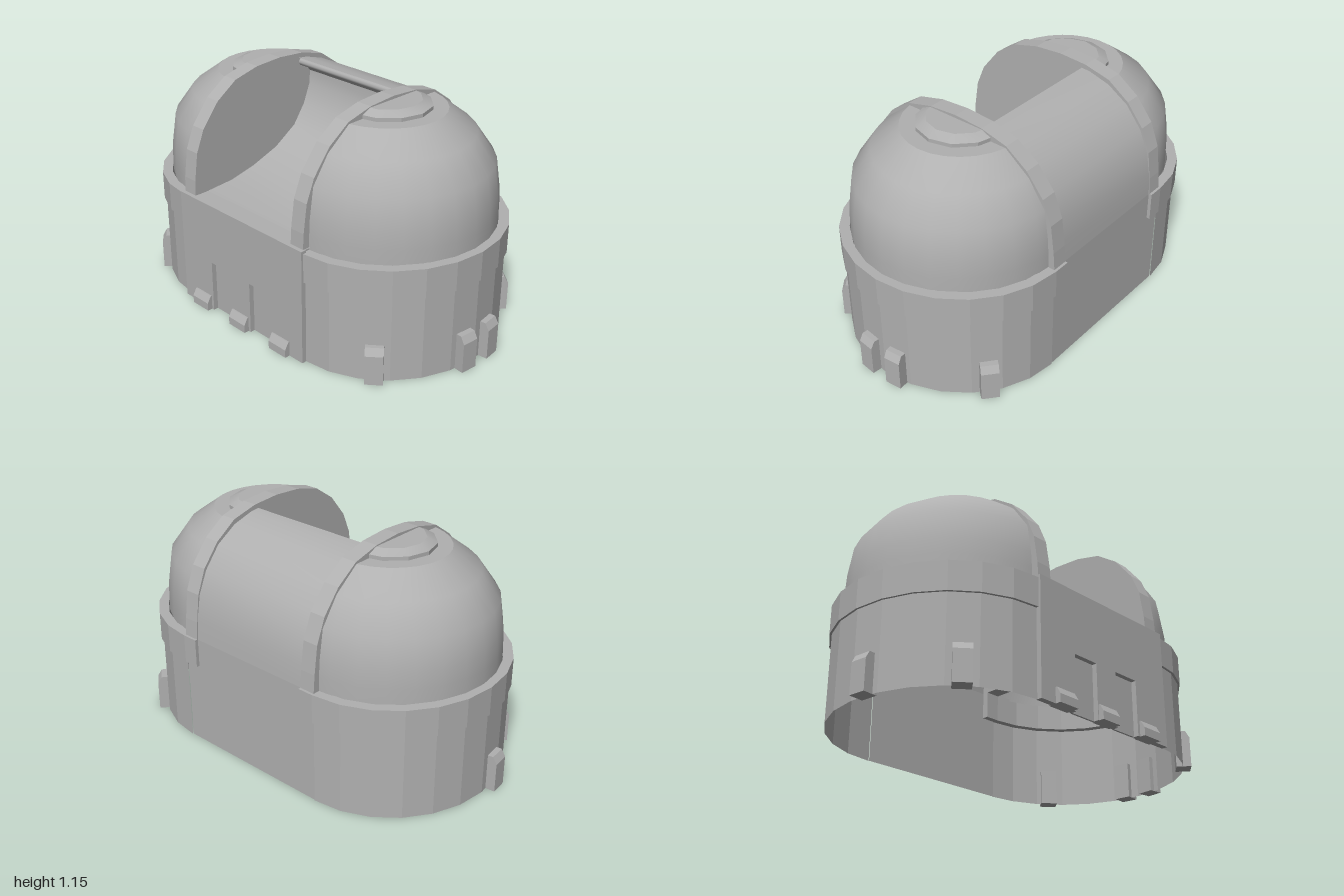
import * as THREE from 'three';
import { toCreasedNormals } from 'three/addons/utils/BufferGeometryUtils.js';

const ZC = -0.02; // depth centre of the rounded ends
const stone = new THREE.MeshStandardMaterial({ color: 0xb0b0b0, side: THREE.DoubleSide });
stone.name = 'grey stone';

function add(parent, name, geometry) {
  const mesh = new THREE.Mesh(geometry, stone);
  mesh.name = name;
  parent.add(mesh);
  return mesh;
}

// Open sheet sweeping a [z, y] profile along x
function sheet(profile, halfWidth, crease) {
  const g = new THREE.PlaneGeometry(1, 1, 1, profile.length - 1);
  const p = g.attributes.position;
  for (let i = 0; i < p.count; i++) {
    const [z, y] = profile[Math.floor(i / 2)];
    p.setXYZ(i, i % 2 ? halfWidth : -halfWidth, y, z);
  }
  g.computeVertexNormals();
  return toCreasedNormals(g, crease);
}

// Points [x, z] around one rounded end, from front to back
function endCurve(cx, a, b, n = 12) {
  return Array.from({ length: n + 1 }, (_, i) => {
    const t = Math.PI / 2 - (i * Math.PI) / n;
    return [cx + a * Math.cos(t), ZC + b * Math.sin(t)];
  });
}

// Half-turn dome of [radius, y] points, stretched to an ellipse
function halfLathe(profile, segments, a, b, cx) {
  const g = new THREE.LatheGeometry(profile.map(([r, y]) => new THREE.Vector2(r, y)), segments, 0, Math.PI);
  g.scale(a, 1, b);
  g.translate(cx, 0, ZC);
  return g;
}

// Small chamfered block standing against a wall, facing angle (0 = +x, 90 degrees = +z)
function block(parent, name, x, z, angle, width, height, depth) {
  const s = new THREE.Shape([
    [-0.03, 0], [depth, 0], [depth, height - 0.035],
    [depth - 0.02, height], [-0.03, height],
  ].map(([u, v]) => new THREE.Vector2(u, v)));
  const g = new THREE.ExtrudeGeometry(s, { depth: width, bevelEnabled: false });
  g.translate(0, 0, -width / 2);
  const m = add(parent, name, g);
  m.position.set(x, 0, z);
  m.rotation.y = -angle;
}

function buildEnd() {
  const end = new THREE.Group();

  // Faceted lower wall
  const curve = endCurve(0.42, 0.54, 0.567);
  const wall = new THREE.PlaneGeometry(1, 1, curve.length - 1, 1);
  const p = wall.attributes.position;
  for (let i = 0; i < p.count; i++) {
    const [x, z] = curve[i % curve.length];
    p.setXYZ(i, x, i < curve.length ? 0.44 : 0, z);
  }
  const flatWall = wall.toNonIndexed();
  flatWall.computeVertexNormals();
  add(end, 'lowerWall', flatWall);

  // Projecting band, running a little further inward at the back
  const outer = endCurve(0.42, 0.55, 0.58);
  const inner = endCurve(0.42, 0.5, 0.53);
  const ring = [...outer, [0.34, ZC - 0.58], [0.34, ZC - 0.53], ...inner.reverse()];
  const band = new THREE.ExtrudeGeometry(
    new THREE.Shape(ring.map(([x, z]) => new THREE.Vector2(x, -z))),
    { depth: 0.145, bevelEnabled: false });
  band.rotateX(-Math.PI / 2);
  band.translate(0, 0.427, 0);
  add(end, 'band', band);

  // Dome with a flat crown
  const domeProfile = [[1, 0.56], [0.998, 0.64], [0.99, 0.72], [0.95, 0.87], [0.785, 1.0], [0.545, 1.1]];
  add(end, 'dome', halfLathe(domeProfile, 14, 0.577, 0.54, 0.35));
  add(end, 'domeCrown', halfLathe([[0.545, 1.1], [0, 1.1]], 14, 0.577, 0.54, 0.35));
  const cap = halfLathe([[1, 1.095], [1, 1.118], [0.78, 1.14], [0, 1.14]], 6, 0.225, 0.215, 0.37);
  add(end, 'crownCap', toCreasedNormals(cap, 0.4));

  // Arched rib, closed as a wall toward the middle bay
  const arch = [
    [0.55, 0.57], [0.545, 0.66], [0.525, 0.8], [0.48, 0.91], [0.385, 1.03], [0.27, 1.11], [0.13, 1.145],
    [-0.02, 1.155], [-0.17, 1.145], [-0.31, 1.11], [-0.425, 1.03], [-0.515, 0.92], [-0.562, 0.8],
    [-0.58, 0.66], [-0.587, 0.57],
  ];
  const rib = new THREE.ExtrudeGeometry(
    new THREE.Shape(arch.map(([z, y]) => new THREE.Vector2(-z, y))),
    { depth: 0.08, bevelEnabled: false });
  rib.rotateY(Math.PI / 2);
  rib.translate(0.34, 0, 0);
  add(end, 'archRib', rib);
  return end;
}

export function createModel() {
  const model = new THREE.Group();
  model.name = 'domedBuilding';

  // Two mirrored ends
  for (const side of [1, -1]) {
    const end = buildEnd();
    end.name = side > 0 ? 'leftEnd' : 'rightEnd';
    end.scale.x = side;
    model.add(end);
  }

  // Rear wall and roof of the middle bay
  add(model, 'rearWall', sheet([[-0.583, 0.57], [-0.583, 0]], 0.42, 0.5));
  add(model, 'rearRoof', sheet([
    [-0.15, 1.122], [-0.2, 1.117], [-0.31, 1.085], [-0.42, 1.015], [-0.505, 0.91],
    [-0.553, 0.8], [-0.575, 0.68], [-0.583, 0.57],
  ], 0.345, 0.8));

  // Rounded lip along the open edge of the roof
  const lip = new THREE.CylinderGeometry(0.02, 0.02, 0.69, 10);
  lip.rotateZ(Math.PI / 2);
  lip.translate(0, 1.1, -0.168);
  add(model, 'roofLip', lip);

  // Hollow scoop of the open bay, ending in a front ledge
  add(model, 'baySurface', sheet([
    [0.47, 0.585], [0.32, 0.595], [0.17, 0.63], [0.02, 0.685], [-0.11, 0.77],
    [-0.18, 0.87], [-0.22, 0.97], [-0.225, 1.04], [-0.18, 1.09],
  ], 0.345, 0.8));
  add(model, 'frontLedge', sheet([[0.565, 0.584], [0.46, 0.584]], 0.425, 0.5));

  // Front panel with two door openings, each backed by a set-in door
  const panel = new THREE.Shape();
  const outline = [[-0.43, 0], [-0.43, 0.585], [0.43, 0.585], [0.43, 0]];
  for (const c of [0.14, -0.14]) {
    outline.push([c + 0.073, 0], [c + 0.073, 0.27], [c - 0.073, 0.27], [c - 0.073, 0]);
    const door = new THREE.BoxGeometry(0.15, 0.275, 0.01);
    door.translate(c, 0.1375, 0.54);
    add(model, 'door', door);
  }
  panel.setFromPoints(outline.map(([x, y]) => new THREE.Vector2(x, y)));
  const front = new THREE.ExtrudeGeometry(panel, { depth: 0.03, bevelEnabled: false });
  front.translate(0, 0, 0.54);
  add(model, 'frontPanel', front);

  // Low feet along the front
  for (const x of [-0.285, -0.005, 0.285]) block(model, 'frontFoot', x, 0.56, Math.PI / 2, 0.115, 0.075, 0.037);

  // Buttresses around the ends: x, z, facing angle in degrees
  for (const [x, z, deg] of [
    [0.955, 0.057, 6], [0.955, -0.103, -6], [0.745, 0.425, 50], [0.745, -0.475, -50],
    [-0.955, 0.06, 174], [-0.745, 0.425, 130],
  ]) block(model, 'buttress', x, z, THREE.MathUtils.degToRad(deg), 0.085, 0.185, 0.043);

  return model;
}
